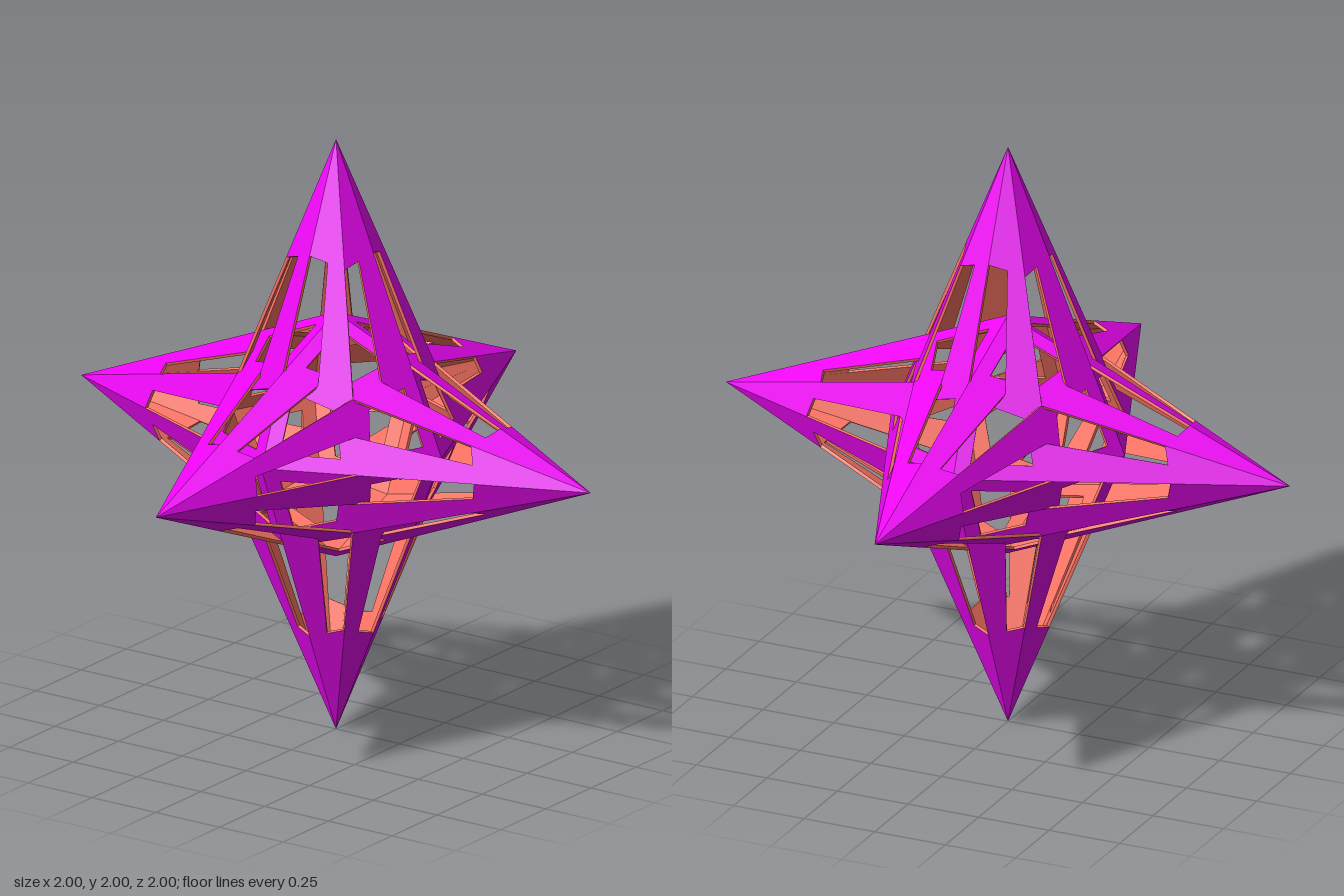
import * as THREE from 'three';

// In-plane coordinates: p and q run towards the two star tips a panel joins,
// the third coordinate r follows from the plane p + q + K r = 1.
const K = 1 + Math.SQRT2;
const THICK = 0.01;
const C = 1 / (1 + K);            // valley corner
const A = 1 / (2 + K);            // ridge corner
const M = [(A + C) / 2, A / 2];   // halfway along a core edge, where panels interlock
const SLOT = 0.61;                // where the slot ends on the ridge
const NORMAL = new THREE.Vector3(1, 1, K).normalize();

// Interlocking panel: pierced kite core with a slotted arm to each tip
const OUTLINE = [
  [1, 0], [A, A],
  [M[1], M[0]], [0.057, 0.628], [A * (1 - SLOT) / (1 - A), SLOT],   // slot beside the ridge
  [0, 1], [0, 0], [C, 0],
  M, [0.628, 0.059], [0.645, 0],                                    // slot beside the valley
];
const HOLE = [[0.047, 0.045], [0.046, 0.23], [0.185, 0.185], [0.232, 0.045]];

const outerPoint = ([p, q]) => new THREE.Vector3(p, q, (1 - p - q) / K);

// Tips slide in along their axis so that they stay mitred; the rest moves in by the thickness
function innerPoint([p, q]) {
  const v = outerPoint([p, q]);
  return p === 1 || q === 1 ? v.multiplyScalar(0.97) : v.addScaledVector(NORMAL, -THICK);
}

function fromTriangles(triangles) {
  return new THREE.BufferGeometry().setFromPoints(triangles.flat());
}

// The purple outside, and the inside together with the cut edges.
// Corners run clockwise here, as each placement below mirrors the panel.
function panelGeometries() {
  const flat = list => list.map(([p, q]) => new THREE.Vector2(p, q));
  const points = [...OUTLINE, ...HOLE];
  const top = points.map(outerPoint), bottom = points.map(innerPoint);
  const faces = THREE.ShapeUtils.triangulateShape(flat(OUTLINE), [flat(HOLE)]);
  const outside = faces.map(([a, b, c]) => [top[a], top[c], top[b]]);
  const inside = faces.map(([a, b, c]) => [bottom[a], bottom[b], bottom[c]]);
  const addWalls = (start, count) => {
    for (let n = 0; n < count; n++) {
      const i = start + n, j = start + (n + 1) % count;
      inside.push([top[i], bottom[j], bottom[i]], [top[i], top[j], bottom[j]]);
    }
  };
  addWalls(0, OUTLINE.length);
  addWalls(OUTLINE.length, HOLE.length);
  return { outside: fromTriangles(outside), inside: fromTriangles(inside) };
}

export function createModel() {
  const model = new THREE.Group();
  model.name = 'interlockingStar';
  const outerMat = new THREE.MeshStandardMaterial({ color: 0xec04f4 });
  const innerMat = new THREE.MeshStandardMaterial({ color: 0xff7565 });
  const { outside, inside } = panelGeometries();

  const orders = [
    { order: [0, 1, 2], parity: 1 }, { order: [1, 2, 0], parity: 1 }, { order: [2, 0, 1], parity: 1 },
    { order: [1, 0, 2], parity: -1 }, { order: [0, 2, 1], parity: -1 }, { order: [2, 1, 0], parity: -1 },
  ];
  // 24 panels, all of the same handedness
  for (const { order, parity } of orders) {
    for (const sx of [1, -1]) for (const sy of [1, -1]) {
      const signs = [sx, sy, -parity * sx * sy];
      const axes = order.map(axis => new THREE.Vector3().setComponent(axis, signs[axis]));
      const placement = new THREE.Matrix4().makeBasis(...axes);
      const panel = new THREE.Group();
      panel.name = 'starPanel';
      const addSide = (name, base, material) => {
        const geo = base.clone().applyMatrix4(placement);
        geo.computeVertexNormals();
        const mesh = new THREE.Mesh(geo, material);
        mesh.name = name;
        panel.add(mesh);
      };
      addSide('panelOutside', outside, outerMat);
      addSide('panelInside', inside, innerMat);
      model.add(panel);
    }
  }
  model.position.y = 1;
  return model;
}
